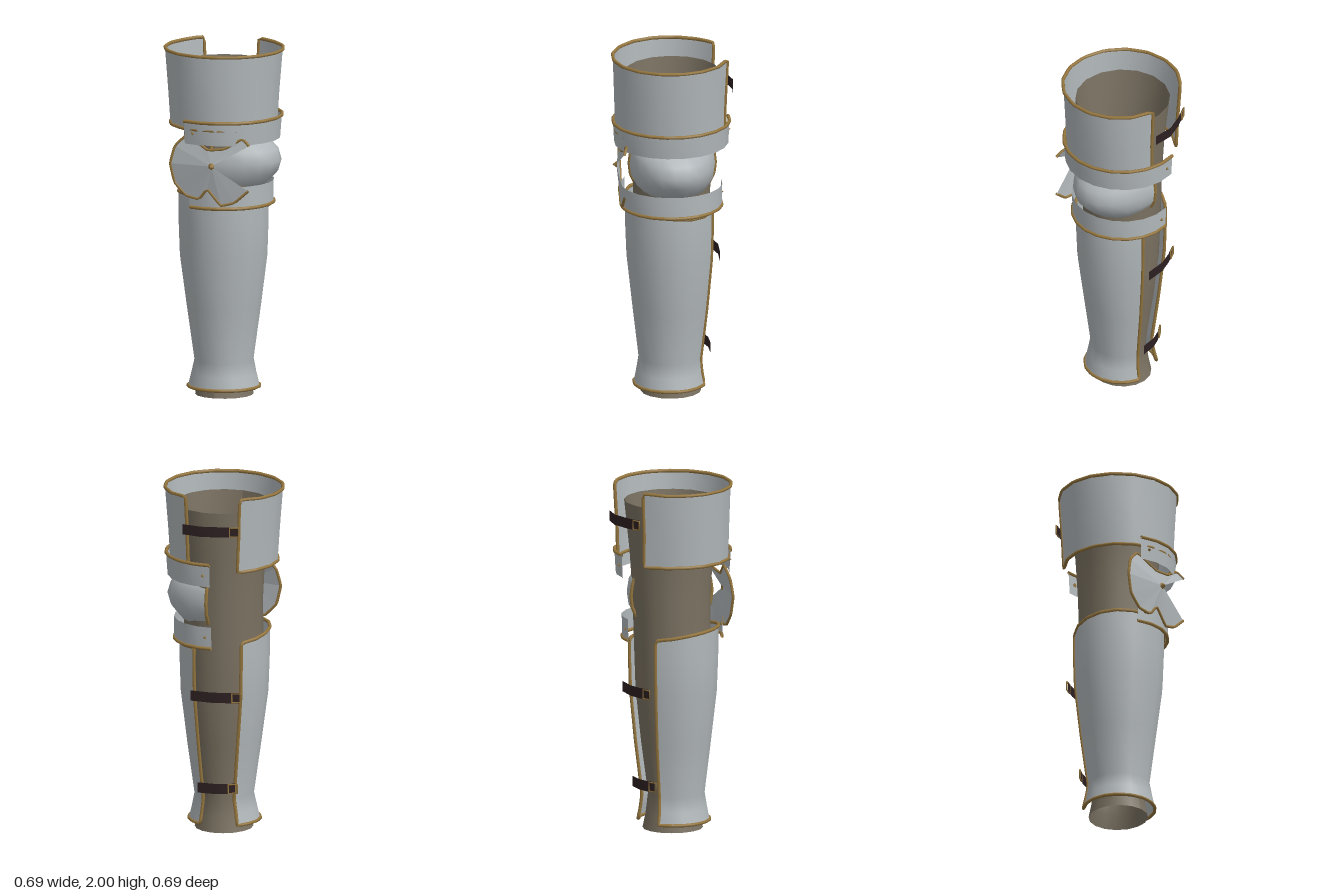
import * as THREE from 'three';

const mat = (name, color) => {
  const m = new THREE.MeshStandardMaterial({ color, side: THREE.DoubleSide });
  m.name = name;
  return m;
};
const V = (x, y, z) => new THREE.Vector3(x, y, z);

// Point on a ring [y, radiusX, radiusZ, centreZ, tilt]; 0 degrees = front, 90 = +x
function ringPoint([y, rx, rz, cz = 0, tilt = 0], deg) {
  const a = THREE.MathUtils.degToRad(deg);
  return V(rx * Math.sin(a), y + tilt * Math.cos(a + 0.7), cz + rz * Math.cos(a));
}

// Open curved plate spanning the angles a0..a1 through a stack of rings
function shell(rings, a0, a1, n) {
  const pos = [], idx = [];
  for (const r of rings) {
    for (let i = 0; i <= n; i++) pos.push(...ringPoint(r, a0 + (a1 - a0) * i / n).toArray());
  }
  for (let j = 0; j < rings.length - 1; j++) {
    for (let i = 0; i < n; i++) {
      const a = j * (n + 1) + i, b = a + n + 1;
      idx.push(a, a + 1, b, a + 1, b + 1, b);
    }
  }
  const g = new THREE.BufferGeometry();
  g.setAttribute('position', new THREE.Float32BufferAttribute(pos, 3));
  g.setIndex(idx);
  g.computeVertexNormals();
  return g;
}

// Points along one ring, and around the whole border of a plate
const edge = (r, a0, a1, n) => Array.from({ length: n + 1 }, (_, i) => ringPoint(r, a0 + (a1 - a0) * i / n));
function border(rings, a0, a1, n) {
  const mid = rings.slice(1, -1);
  return [
    ...edge(rings[0], a0, a1, n), ...mid.map(r => ringPoint(r, a1)),
    ...edge(rings[rings.length - 1], a1, a0, n), ...mid.reverse().map(r => ringPoint(r, a0)),
  ];
}
const rolledEdge = (pts, closed, radius = 0.01) => new THREE.TubeGeometry(
  new THREE.CatmullRomCurve3(pts, closed, 'catmullrom', 0.1), pts.length * 4, radius, 6, closed);

export function createModel() {
  const steel = mat('steel', 0xb2b8bb), brass = mat('brass', 0x96773f);
  const cloth = mat('padding cloth', 0x7b7262), leather = mat('dark leather', 0x2d2021);
  const model = new THREE.Group();
  model.name = 'legArmour';
  const add = (name, geo, material, parent = model) => {
    const m = new THREE.Mesh(geo, material);
    m.name = name;
    parent.add(m);
    return m;
  };

  // Padded sleeve under the plates
  add('paddedSleeve', shell([
    [0, 0.165, 0.172, 0.008], [0.08, 0.15, 0.155, 0.008], [0.2, 0.13, 0.142, 0.008],
    [0.5, 0.18, 0.18, 0.008], [0.8, 0.215, 0.21, 0.008], [1.1, 0.225, 0.217, 0.005],
    [1.35, 0.225, 0.22], [1.6, 0.237, 0.237], [1.9, 0.27, 0.268],
  ], 0, 360, 16), cloth);

  // Plates with a rolled brass border
  const plates = [
    ['thighPlate', [[1.565, 0.305, 0.315, 0.012], [1.75, 0.318, 0.32, 0.012], [1.99, 0.338, 0.33, 0.01]], -141, 163, 14],
    ['shinPlate', [[0.05, 0.203, 0.203, 0.015], [0.12, 0.185, 0.19, 0.015], [0.2, 0.167, 0.18, 0.012],
      [0.5, 0.21, 0.215, 0.012], [0.8, 0.25, 0.245, 0.015], [1.0, 0.257, 0.252, 0.016],
      [1.13, 0.258, 0.252, 0.018, 0.045]], -135, 161, 14],
    ['kneeDome', [[1.19, 0.11, 0.08], [1.22, 0.24, 0.2], [1.29, 0.31, 0.235], [1.355, 0.33, 0.243],
      [1.42, 0.31, 0.235], [1.48, 0.25, 0.21], [1.51, 0.11, 0.08]], 0, 180, 10],
  ];
  for (const [name, rings, a0, a1, n] of plates) {
    add(name, shell(rings, a0, a1, n), steel);
    add(name + 'Trim', rolledEdge(border(rings, a0, a1, n), true), brass);
  }

  // Bands above and below the knee: one trimmed edge and a rivet at each end
  const bands = [
    ['upperBand', [[1.48, 0.318, 0.324, 0.006], [1.61, 0.328, 0.331, 0.006]], 1],
    ['lowerBand', [[1.11, 0.28, 0.285, 0.004], [1.235, 0.28, 0.288, 0.004]], 0],
  ];
  for (const [name, rings, trimmed] of bands) {
    add(name, shell(rings, -25, 190, 12), steel);
    add(name + 'Trim', rolledEdge(edge(rings[trimmed], -25, 190, 12), false), brass);
    const [lo, hi] = rings;
    for (const deg of [-15, 182]) {
      const rivet = add(name + 'Rivet', new THREE.ConeGeometry(0.014, 0.018, 5), brass);
      rivet.position.copy(ringPoint(lo.map((v, k) => (v + hi[k]) / 2), deg));
      rivet.quaternion.setFromUnitVectors(V(0, 1, 0), V(rivet.position.x, 0, rivet.position.z).normalize());
    }
  }

  // Folded fan-shaped guard in front of the knee, open toward +x
  const rim = [
    [0.24, 1.225, 0.285], [0.16, 1.155, 0.29], [0.08, 1.135, 0.295], [0, 1.225, 0.3],
    [-0.05, 1.165, 0.295], [-0.13, 1.18, 0.285], [-0.2, 1.25, 0.285], [-0.225, 1.36, 0.29],
    [-0.2, 1.46, 0.28], [-0.13, 1.525, 0.268], [0, 1.45, 0.295], [0.1, 1.46, 0.29],
    [0.2, 1.52, 0.268], [0.245, 1.485, 0.285],
  ].map(p => V(...p));
  const hub = V(0.03, 1.36, 0.318), tri = [];
  for (let i = 0; i < rim.length - 1; i++) tri.push(hub, rim[i + 1], rim[i]);
  const fan = new THREE.BufferGeometry().setFromPoints(tri);
  fan.computeVertexNormals();
  add('kneeFan', fan, steel);
  add('kneeFanTrim', rolledEdge(rim, false, 0.008), brass);
  const stud = add('kneeFanStud', new THREE.ConeGeometry(0.02, 0.025, 6), brass);
  stud.rotation.x = Math.PI / 2;
  stud.position.set(0.03, 1.36, 0.328);

  // Leather straps closing the gap at the back, each with a small buckle
  const straps = [
    [1.81, [[-0.21, -0.27], [-0.12, -0.312], [-0.01, -0.345], [0.105, -0.335]]],
    [0.82, [[-0.19, -0.205], [-0.12, -0.237], [-0.04, -0.262], [0.085, -0.265]]],
    [0.27, [[-0.14, -0.152], [-0.09, -0.183], [-0.03, -0.205], [0.065, -0.212]]],
  ];
  for (const [y, path] of straps) {
    const group = new THREE.Group();
    group.name = 'backStrap';
    model.add(group);
    const g = new THREE.PlaneGeometry(1, 0.06, path.length - 1, 1);
    const p = g.attributes.position;
    for (let i = 0; i < p.count; i++) {
      const [x, z] = path[i % path.length];
      p.setXYZ(i, x, y + p.getY(i), z);
    }
    g.computeVertexNormals();
    add('strap', g, leather, group);
    const [[x0, z0], [x1, z1]] = path;
    const buckle = add('buckle', new THREE.TorusGeometry(0.036, 0.005, 4, 4).rotateZ(Math.PI / 4), brass, group);
    buckle.position.set(x0 * 0.8 + x1 * 0.2, y, z0 * 0.8 + z1 * 0.2 - 0.004);
    buckle.rotation.y = -Math.atan2(z1 - z0, x1 - x0);
  }
  return model;
}
